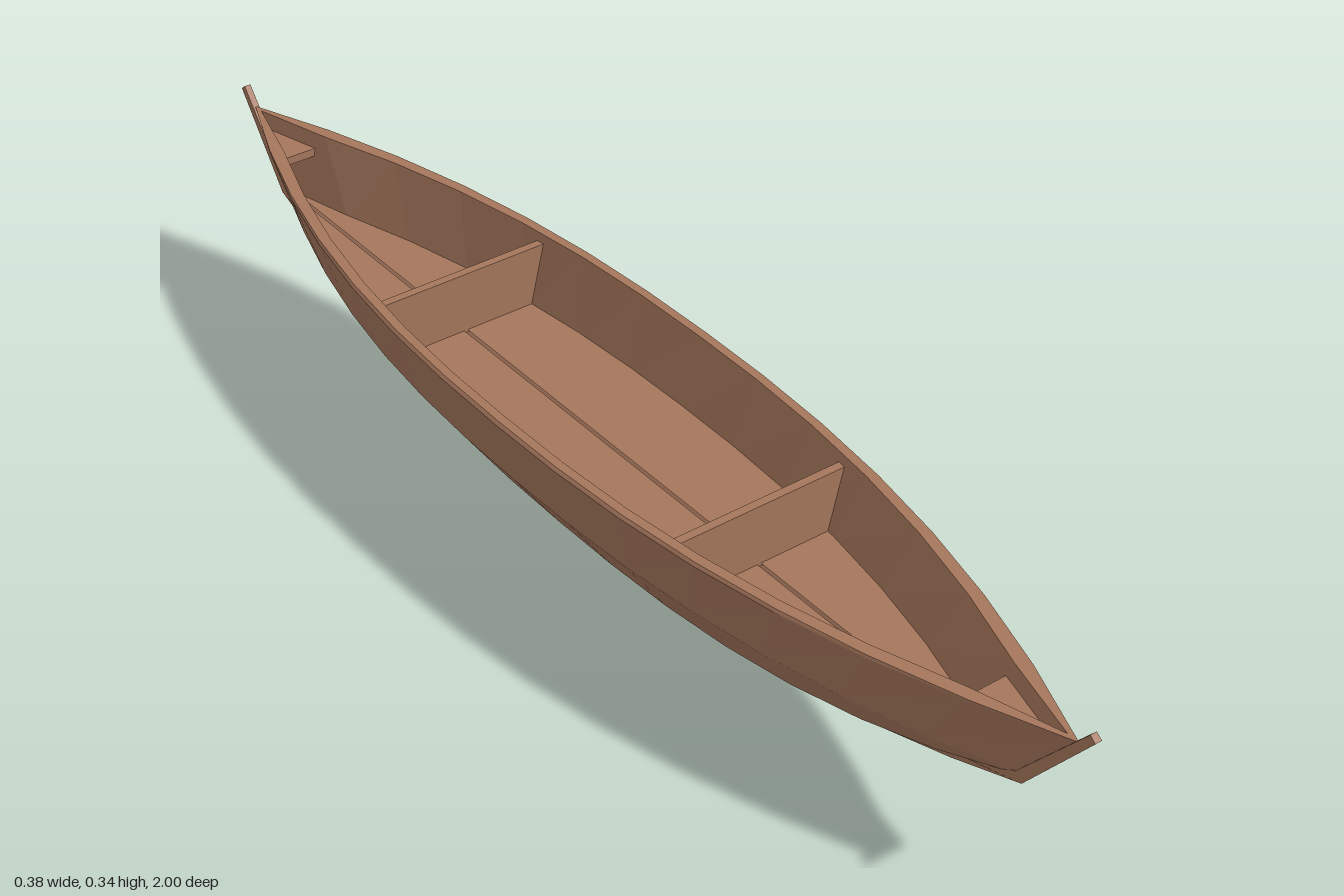
import * as THREE from 'three';

const wood = new THREE.MeshStandardMaterial({ color: 0xa5765c, flatShading: true, side: THREE.DoubleSide });
wood.name = 'brown wood';

const RIM_Y = 0.31, FLOOR_Y = 0.195, SEGMENTS = 14;

// fullness of the boat's outline: 1 amidships, 0 at the tips
const fullness = t => Math.max(0, 1 - Math.pow(Math.abs(t), 2.3));
const inset = (x, d) => Math.max(0, x - d);

// half widths of the inner wall at rim and floor for a given z
const innerRim = z => inset(0.19 * fullness(z / 0.97), 0.018);
const innerFloor = z => inset(0.157 * fullness(z / 0.88), 0.015);

// skin of quads between equally long rows of [x, y, z] points
function loft(rows) {
  const index = [], n = rows[0].length;
  for (let i = 0; i < rows.length - 1; i++) {
    for (let j = 0; j < n - 1; j++) {
      const a = i * n + j, b = a + n;
      index.push(a, a + 1, b, a + 1, b + 1, b);
    }
  }
  const geometry = new THREE.BufferGeometry();
  geometry.setAttribute('position', new THREE.Float32BufferAttribute(rows.flat(2), 3));
  geometry.setIndex(index);
  const flat = geometry.toNonIndexed();
  flat.computeVertexNormals();
  return flat;
}

function polygon(points, depth) {
  const shape = new THREE.Shape(points.map(p => new THREE.Vector2(p[0], p[1])));
  return new THREE.ExtrudeGeometry(shape, { depth, bevelEnabled: false }).translate(0, 0, -depth / 2);
}

const stations = Array.from({ length: SEGMENTS + 1 }, (_, i) => (i / SEGMENTS) * 2 - 1);

// cross-section from the left inner wall, around the keel, to the right inner wall
function hullSection(t) {
  const f = fullness(t);
  const half = [
    [0.08 * f, 0.08 + 0.11 * Math.abs(t) ** 2.6, 0.88 * t],
    [0.157 * f, 0.19, 0.88 * t],
    [0.19 * f, 0.305, 0.966 * t],
    [0.186 * f, RIM_Y, 0.97 * t],
    [inset(0.19 * f, 0.018), RIM_Y, 0.95 * t],
    [inset(0.157 * f, 0.015), FLOOR_Y - 0.01, 0.87 * t],
  ];
  const mirrored = half.map(([x, y, z]) => [-x, y, z]).reverse();
  return [...mirrored, [0, 0.01 + 0.18 * t * t, 0.88 * t], ...half];
}

export function createModel() {
  const boat = new THREE.Group();
  boat.name = 'rowing boat';
  const add = (name, geometry) => {
    const mesh = new THREE.Mesh(geometry, wood);
    mesh.name = name;
    boat.add(mesh);
    return mesh;
  };

  add('hull', loft(stations.map(hullSection)));

  // two floor halves with a narrow seam along the middle
  for (const side of [1, -1]) {
    const rows = stations.map(t => {
      const z = 0.86 * t;
      const edge = [side * (innerFloor(z) + 0.004), FLOOR_Y, z];
      const seam = [side * 0.003, FLOOR_Y, z];
      return side > 0 ? [edge, seam] : [seam, edge];
    });
    add(side > 0 ? 'leftFloor' : 'rightFloor', loft(rows));
  }

  // keel sweeping up into a stem at both ends
  const outer = stations.map(t => [0.89 * t, 0.185 * t * t]);
  const inner = stations.map(t => [0.876 * t, 0.014 + 0.182 * t * t]).reverse();
  const keel = polygon([[-1, 0.332], ...outer, [1, 0.332], [0.99, 0.34], ...inner, [-0.99, 0.34]], 0.011);
  keel.rotateY(-Math.PI / 2);
  const p = keel.attributes.position;
  for (let i = 0; i < p.count; i++) {
    p.setX(i, p.getX(i) * (1 + 0.6 * Math.max(0, 1 - p.getY(i) / 0.1)));
  }
  keel.computeVertexNormals();
  add('keelAndStems', keel);

  // cross partitions
  for (const [name, z] of [['frontPartition', 0.353], ['backPartition', -0.363]]) {
    const top = innerRim(z), bottom = innerFloor(z) + 0.004;
    const points = [[-bottom, FLOOR_Y - 0.005], [bottom, FLOOR_Y - 0.005], [top, 0.296], [-top, 0.296]];
    add(name, polygon(points, 0.014)).position.z = z;
  }

  // small end decks just below the rim
  for (const [name, end, start] of [['frontDeck', 1, 0.805], ['backDeck', -1, 0.832]]) {
    const zs = [start, 0.87, 0.94];
    const right = zs.map(z => [innerRim(z), -end * z]);
    const left = zs.map(z => [-innerRim(z), -end * z]).reverse();
    const deck = polygon([...right, ...left.slice(1)], 0.014).rotateX(-Math.PI / 2);
    add(name, deck).position.y = 0.277;
  }

  return boat;
}
